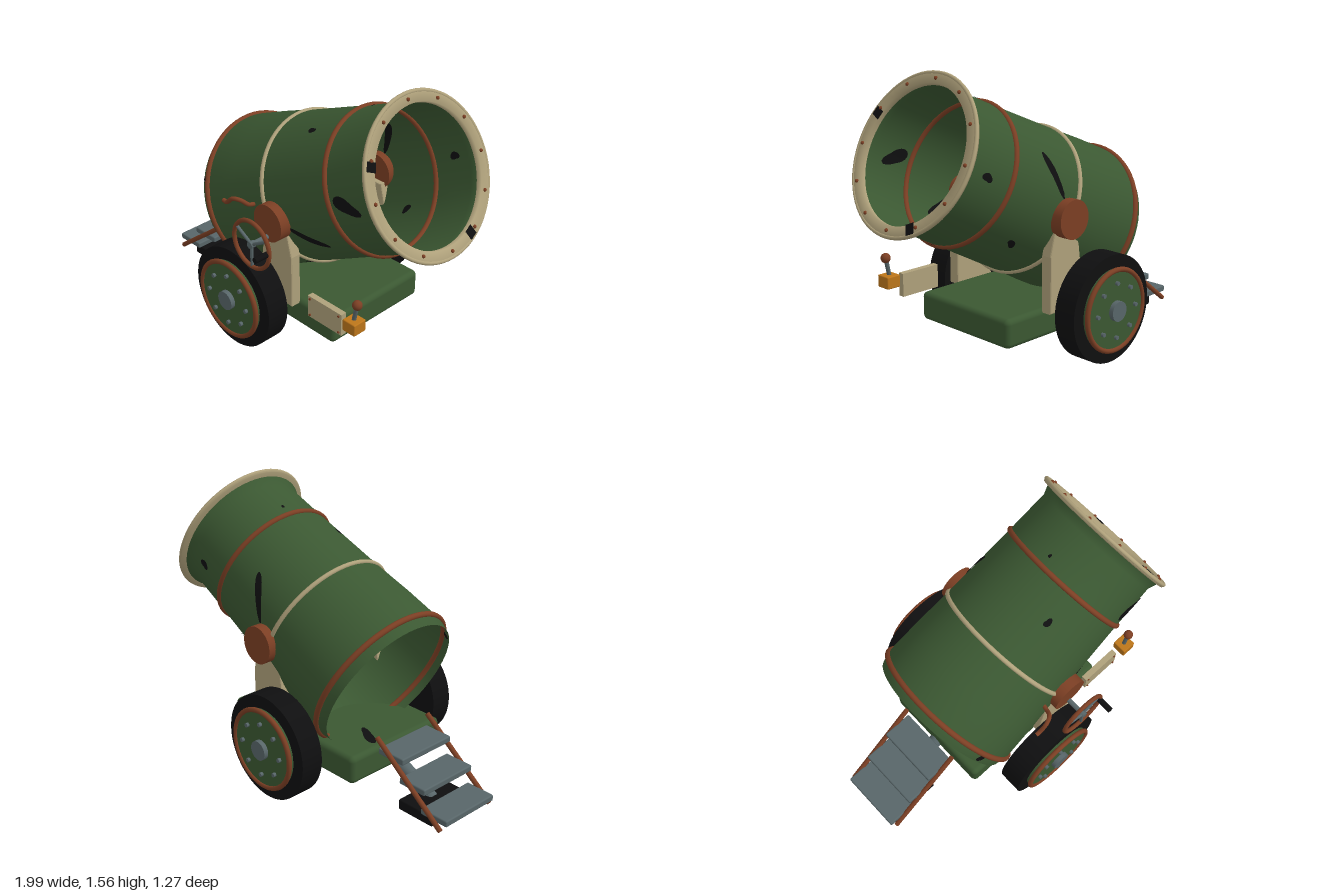
import * as THREE from 'three';
import { RoundedBoxGeometry } from 'three/addons/geometries/RoundedBoxGeometry.js';

const mat = (name, color, side = THREE.FrontSide) => {
  const m = new THREE.MeshStandardMaterial({ color, side });
  m.name = name;
  return m;
};

export function createModel() {
  const green = mat('green paint', 0x3b5832, THREE.DoubleSide);
  const cream = mat('cream paint', 0xafa17b, THREE.DoubleSide);
  const rust = mat('rusty copper', 0x7c3f24);
  const black = mat('black', 0x0f0f10, THREE.DoubleSide);
  const grey = mat('steel grey', 0x586669);
  const orange = mat('orange', 0xbd761a);

  const root = new THREE.Group();
  root.name = 'circusCannon';
  root.position.z = -0.017;

  const add = (parent, name, geo, material, x = 0, y = 0, z = 0) => {
    const m = new THREE.Mesh(geo, material);
    m.name = name;
    m.position.set(x, y, z);
    parent.add(m);
    return m;
  };
  const group = (name, x = 0, y = 0, z = 0) => {
    const g = new THREE.Group();
    g.name = name;
    g.position.set(x, y, z);
    root.add(g);
    return g;
  };
  const box = (w, h, d) => new THREE.BoxGeometry(w, h, d);
  // cylinder lying along z
  const disc = (r, depth, seg = 32) => new THREE.CylinderGeometry(r, r, depth, seg).rotateX(Math.PI / 2);
  // straight rod between two points
  const rod = (parent, name, a, b, r, material) => {
    const p = new THREE.Vector3(...a), q = new THREE.Vector3(...b), d = q.clone().sub(p);
    const m = add(parent, name, new THREE.CylinderGeometry(r, r, d.length(), 16), material);
    m.position.copy(p).add(q).multiplyScalar(0.5);
    m.quaternion.setFromUnitVectors(new THREE.Vector3(0, 1, 0), d.normalize());
  };

  // Barrel: open shell; local y runs along the bore, muzzle at the origin
  const barrel = group('barrel', 0.807, 1.171, 0);
  barrel.rotation.z = THREE.MathUtils.degToRad(-64.8);
  const profile = [[0.42, -1.345], [0.437, -1.28], [0.427, -1.05], [0.41, -0.815], [0.385, -0.336],
    [0.374, -0.08], [0.39, -0.035], [0.405, -0.015]];
  add(barrel, 'barrelShell', new THREE.LatheGeometry(profile.map(p => new THREE.Vector2(...p)), 64), green);
  const radiusAt = s => {
    let i = 1;
    while (i < profile.length - 1 && profile[i][1] < s) i++;
    const [r0, s0] = profile[i - 1], [r1, s1] = profile[i];
    return r0 + (r1 - r0) * (s - s0) / (s1 - s0);
  };
  const hoop = (name, r, tube, s, material) =>
    add(barrel, name, new THREE.TorusGeometry(r, tube, 12, 64).rotateX(Math.PI / 2), material, 0, s, 0);
  hoop('rearHoop', 0.437, 0.016, -1.28, rust);
  hoop('middleHoop', 0.41, 0.013, -0.815, cream);
  hoop('frontHoop', 0.385, 0.015, -0.336, rust);

  // Muzzle flange with rolled lip and rivets
  const flange = [[0.375, -0.03], [0.422, -0.025], [0.428, -0.012], [0.422, 0], [0.364, 0], [0.362, -0.03]];
  add(barrel, 'muzzleFlange', new THREE.LatheGeometry(flange.map(p => new THREE.Vector2(...p)), 64), cream);
  hoop('muzzleLip', 0.42, 0.011, -0.008, cream);
  for (let i = 0; i < 12; i++) {
    const a = i * Math.PI / 6;
    add(barrel, 'muzzleRivet', new THREE.SphereGeometry(0.01, 10, 8), rust, -0.39 * Math.cos(a), 0.001, 0.39 * Math.sin(a));
  }
  // scorch marks on the flange: angle from the top towards +z
  for (const a of [1.12, -2.72]) {
    const m = add(barrel, 'flangeScorch', box(0.056, 0.005, 0.05), black, -0.388 * Math.cos(a), 0.001, 0.388 * Math.sin(a));
    m.rotation.y = a;
  }

  // Irregular patch: two rings around a centre, placed by a mapping rule
  const blob = (w, h, turn, place) => {
    const n = 18, pos = [...place(0, 0)], index = [];
    for (const k of [0.5, 1]) for (let i = 0; i < n; i++) {
      const a = i / n * Math.PI * 2;
      const f = k * (1 + 0.16 * Math.sin(2 * a + 1) + 0.1 * Math.sin(3 * a + w * 90));
      const x = w * f * Math.cos(a), y = h * f * Math.sin(a);
      pos.push(...place(x * Math.cos(turn) - y * Math.sin(turn), x * Math.sin(turn) + y * Math.cos(turn)));
    }
    for (let i = 0; i < n; i++) {
      const a = 1 + i, b = 1 + (i + 1) % n;
      index.push(0, a, b, a, a + n, b + n, a, b + n, b);
    }
    const g = new THREE.BufferGeometry();
    g.setAttribute('position', new THREE.Float32BufferAttribute(pos, 3));
    g.setIndex(index);
    g.computeVertexNormals();
    return g;
  };
  // barrel scorch marks: distance along bore, angle, half length, half width, turn
  const marks = [
    [-0.525, 0.51, 0.024, 0.019, 0], [-0.221, 1.59, 0.082, 0.042, 0.5], [-0.6, 2.03, 0.11, 0.026, 0.65],
    [-1.31, 1.1, 0.025, 0.02, 0], [-0.61, -1.22, 0.12, 0.025, 0.8], [-0.27, -0.06, 0.01, 0.01, 0],
    [-0.3, Math.PI, 0.027, 0.022, 0], [-0.87, 2.69, 0.035, 0.03, 0], [-0.17, -1.6, 0.03, 0.025, 0],
    [-0.55, -2.3, 0.03, 0.022, 0.5]];
  for (const [s, phi, w, h, turn] of marks) for (const lift of [0.004, -0.004]) {
    add(barrel, 'barrelScorch', blob(w, h, turn, (u, v) => {
      const r = radiusAt(s + u) + lift, a = phi + v / 0.4;
      return [-r * Math.cos(a), s + u, r * Math.sin(a)];
    }), black);
  }

  // Chassis with scorch marks
  add(root, 'chassis', new RoundedBoxGeometry(0.97, 0.16, 0.675, 4, 0.03), green, 0.005, 0.23, 0);
  for (const [x, y, z, w, h] of [[-0.36, 0.312, -0.1, 0.08, 0.03], [0.2, 0.148, 0.15, 0.05, 0.03], [-0.15, 0.148, -0.2, 0.05, 0.025]])
    add(root, 'chassisScorch', blob(w, h, 0.4, (u, v) => [x + u, y, z + v]), black);

  // Parts found on both sides
  const support = new THREE.Shape([[-0.02, 0.3], [0.225, 0.3], [0.225, 0.6], [0.19, 0.74], [0.07, 0.74], [0.03, 0.66]]
    .map(p => new THREE.Vector2(...p)));
  for (const side of [1, -1]) {
    const z = d => side * d;
    add(root, 'barrelSupport', new THREE.ExtrudeGeometry(support,
      { depth: 0.05, bevelSize: 0.008, bevelThickness: 0.008, bevelSegments: 2 }), cream, 0, 0, z(0.36) - 0.025);
    add(root, 'trunnion', disc(0.105, 0.1, 40), rust, 0.125, 0.795, z(0.407));

    const wheel = group(side > 0 ? 'leftWheel' : 'rightWheel', -0.055, 0.295, 0);
    add(wheel, 'tire', disc(0.295, 0.132, 64), black, 0, 0, z(0.496));
    add(wheel, 'wheelPlate', disc(0.222, 0.036, 48), green, 0, 0, z(0.573));
    add(wheel, 'wheelRim', new THREE.TorusGeometry(0.22, 0.014, 12, 56), rust, 0, 0, z(0.588));
    add(wheel, 'wheelHub', disc(0.055, 0.05), grey, 0, 0, z(0.592));
    for (let i = 0; i < 8; i++) {
      const a = i * Math.PI / 4;
      add(wheel, 'wheelBolt', disc(0.012, 0.03, 8), grey, 0.15 * Math.cos(a), 0.15 * Math.sin(a), z(0.592));
    }
    rod(root, 'stairRail', [-0.97, 0.045, z(0.192)], [-0.515, 0.4, z(0.192)], 0.014, rust);
  }

  // Elevation handwheel on the left
  const hand = group('handwheel', 0.122, 0.715, 0.565);
  add(hand, 'handwheelRing', new THREE.TorusGeometry(0.135, 0.012, 12, 48), rust);
  add(hand, 'handwheelHub', disc(0.02, 0.03, 16), grey);
  rod(hand, 'handwheelShaft', [0, 0, -0.18], [0, 0, 0], 0.014, grey);
  for (let i = 0; i < 3; i++) {
    const a = Math.PI / 6 + i * Math.PI * 2 / 3;
    rod(hand, 'handwheelSpoke', [0, 0, 0], [0.13 * Math.cos(a), 0.13 * Math.sin(a), 0], 0.009, grey);
  }
  add(hand, 'handwheelGrip', disc(0.016, 0.09, 16), black, 0.125, 0, 0.045);

  // Bent copper pipe
  const pipe = new THREE.CatmullRomCurve3([[-0.172, 0.83, 0.5], [-0.145, 0.828, 0.5], [-0.095, 0.87, 0.5],
    [-0.055, 0.868, 0.48], [-0.035, 0.835, 0.44], [-0.02, 0.83, 0.38]].map(p => new THREE.Vector3(...p)));
  add(root, 'bentPipe', new THREE.TubeGeometry(pipe, 40, 0.012, 10), rust);

  // Control panel, switch box and firing lever
  add(root, 'controlPanel', box(0.245, 0.13, 0.035), cream, 0.478, 0.365, 0.372);
  for (const x of [-0.105, 0.105]) for (const y of [-0.05, 0.05])
    add(root, 'panelRivet', disc(0.006, 0.008, 8), rust, 0.478 + x, 0.365 + y, 0.392);
  add(root, 'switchBox', new RoundedBoxGeometry(0.085, 0.068, 0.085, 2, 0.006), orange, 0.678, 0.406, 0.376);
  rod(root, 'firingLever', [0.675, 0.43, 0.376], [0.695, 0.53, 0.376], 0.012, grey);
  add(root, 'leverKnob', new THREE.SphereGeometry(0.027, 20, 14), rust, 0.697, 0.536, 0.376);

  // Trail leg with foot, and boarding steps
  rod(root, 'trailLeg', [-0.42, 0.21, 0], [-0.74, 0.045, 0], 0.04, grey);
  add(root, 'trailFoot', new RoundedBoxGeometry(0.235, 0.06, 0.325, 2, 0.008), black, -0.767, 0.045, 0);
  for (let i = 0; i < 3; i++)
    add(root, 'step', new RoundedBoxGeometry(0.175, 0.036, 0.37, 2, 0.008), grey, -0.913 + i * 0.154, 0.095 + i * 0.112, 0);

  const model = new THREE.Group();
  model.name = 'cannon';
  model.add(root);
  return model;
}
